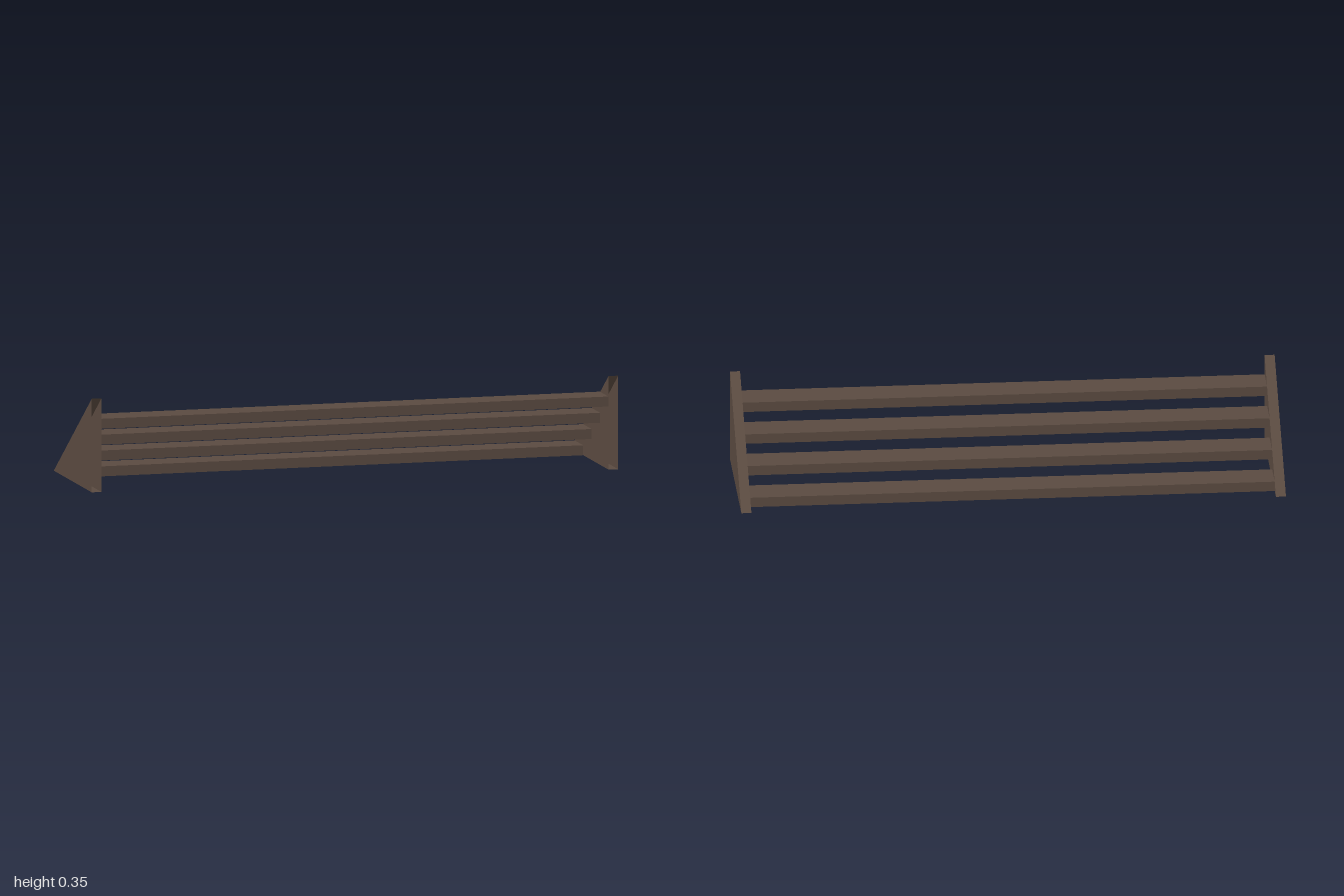
import * as THREE from 'three';

const HALF = 1, PANEL = 0.037, HEIGHT = 0.347, DEPTH = 0.26;

// Triangular end panel: a thin folded shell, open along its front edge
function panelGeometry(x0, x1) {
  const top = x => [x, HEIGHT, DEPTH];
  const foot = x => [x, 0, DEPTH];
  const tip = x => [x, 0, -DEPTH];
  const quad = (a, b, c, d) => [a, b, c, a, c, d];
  const corners = [
    top(x1), foot(x1), tip(x1),
    top(x0), tip(x0), foot(x0),
    ...quad(top(x1), tip(x1), tip(x0), top(x0)),
    ...quad(foot(x1), foot(x0), tip(x0), tip(x1)),
  ];
  const geometry = new THREE.BufferGeometry();
  geometry.setAttribute('position', new THREE.Float32BufferAttribute(corners.flat(), 3));
  geometry.computeVertexNormals();
  return geometry;
}

export function createModel() {
  const model = new THREE.Group();
  model.name = 'slattedRack';
  const wood = new THREE.MeshStandardMaterial({ color: 0x5a4a40, side: THREE.DoubleSide });
  wood.name = 'dark brown wood';

  // End panels
  const add = (name, geometry) => {
    const mesh = new THREE.Mesh(geometry, wood);
    mesh.name = name;
    model.add(mesh);
    return mesh;
  };
  add('leftPanel', panelGeometry(HALF - PANEL, HALF));
  add('rightPanel', panelGeometry(-HALF, -HALF + PANEL));

  // Four slats climbing from the low back to the high front
  const thickness = 0.037, slatDepth = 0.118;
  const slat = new THREE.BoxGeometry(2 * (HALF - PANEL), thickness, slatDepth);
  for (let i = 0; i < 4; i++) {
    add(`slat${i + 1}`, slat).position.set(
      0, thickness / 2 + 0.078 * i, -0.204 + slatDepth / 2 + 0.115 * i);
  }
  return model;
}
